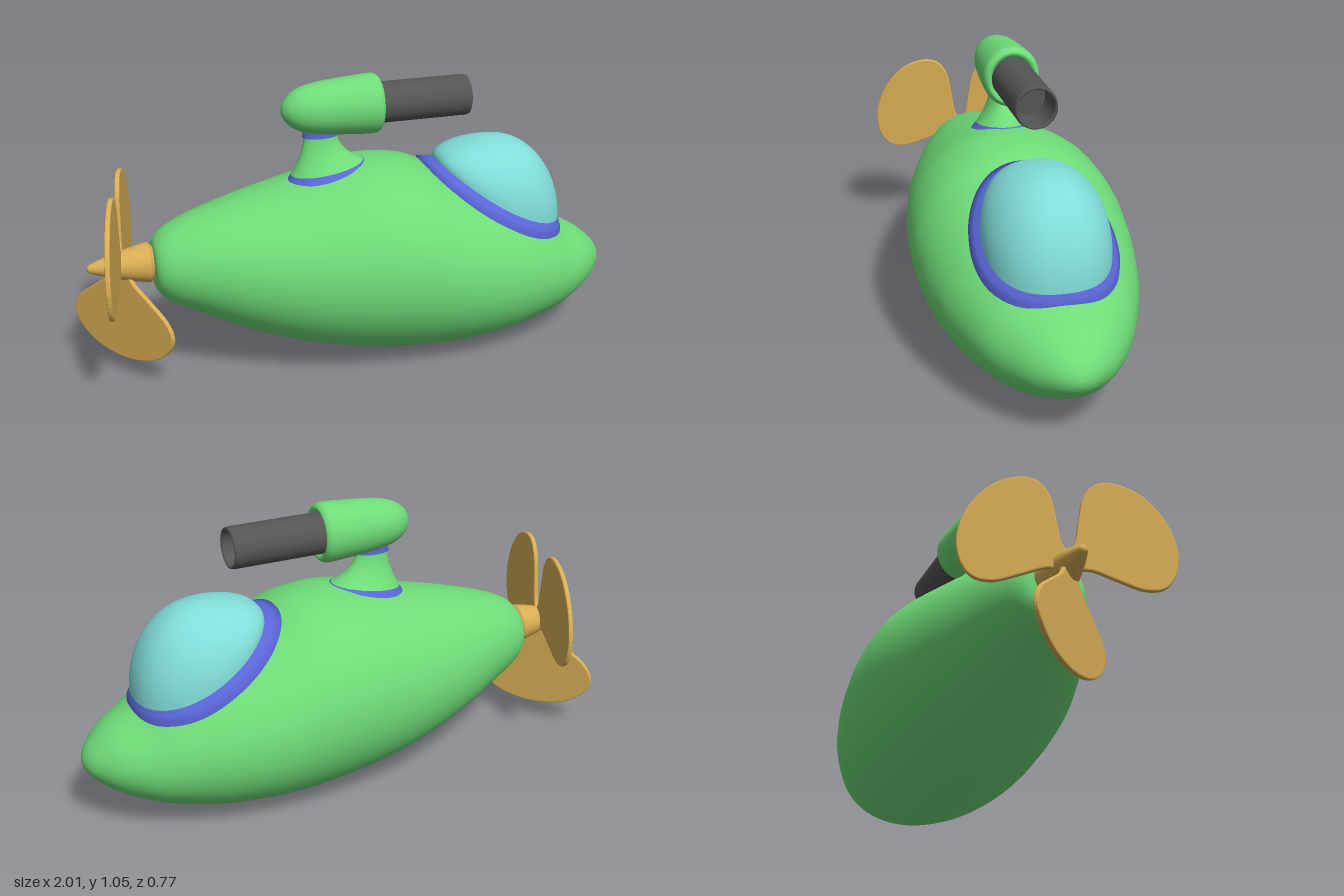
import * as THREE from 'three';

const mat = (color) => new THREE.MeshStandardMaterial({ color });
const GREEN = 0x6fdc78, BLUE = 0x5b66d8, GLASS = 0x80dcd8, GOLD = 0xd9ae55, DARK = 0x555555;
const TAU = Math.PI * 2;

// Smooth skin of closed rings: f(a, v) gives [x, y, z] for angle a and travel v in 0..1
function loft(nu, nv, f) {
  const pos = [], idx = [];
  for (let j = 0; j <= nv; j++)
    for (let i = 0; i < nu; i++) pos.push(...f((i / nu) * TAU, j / nv));
  for (let j = 0; j < nv; j++)
    for (let i = 0; i < nu; i++) {
      const k = (i + 1) % nu;
      const a = j * nu + i, b = j * nu + k, c = b + nu, d = a + nu;
      idx.push(a, b, c, a, c, d);
    }
  const g = new THREE.BufferGeometry();
  g.setAttribute('position', new THREE.Float32BufferAttribute(pos, 3));
  g.setIndex(idx);
  g.computeVertexNormals();
  return g;
}

// Turned part lying along x, from [x, radius] pairs
function turned(pairs, smooth = 0) {
  let pts = pairs.map(([x, r]) => new THREE.Vector2(r, x));
  if (smooth) pts = new THREE.SplineCurve(pts).getPoints(smooth);
  pts.forEach((p) => { p.x = Math.max(p.x, 0); });
  return new THREE.LatheGeometry(pts, 48).rotateZ(-Math.PI / 2);
}

export function createModel() {
  const model = new THREE.Group();
  const add = (name, geometry, color, parent = model) => {
    const m = new THREE.Mesh(geometry, mat(color));
    m.name = name;
    parent.add(m);
    return m;
  };

  // Hull stations: x, top, bottom, half width
  const stations = [
    [-0.74, 0.43, 0.43, 0], [-0.74, 0.49, 0.36, 0.07], [-0.725, 0.525, 0.32, 0.11],
    [-0.68, 0.56, 0.28, 0.145], [-0.58, 0.6, 0.23, 0.195], [-0.4, 0.65, 0.143, 0.27],
    [-0.2, 0.695, 0.073, 0.333], [-0.05, 0.73, 0.038, 0.365], [0.06, 0.745, 0.02, 0.38],
    [0.2, 0.73, 0.005, 0.387], [0.3, 0.69, 0.002, 0.382], [0.4, 0.645, 0.005, 0.37],
    [0.55, 0.58, 0.018, 0.335], [0.7, 0.5, 0.05, 0.277], [0.8, 0.428, 0.085, 0.225],
    [0.9, 0.375, 0.135, 0.155], [0.965, 0.32, 0.187, 0.085], [0.992, 0.281, 0.222, 0.037],
    [1, 0.25, 0.25, 0],
  ];
  const spline = (pick) => new THREE.CatmullRomCurve3(
    stations.map((s) => new THREE.Vector3(...pick(s))), false, 'catmullrom', 0.5);
  const profile = spline(([x, t, b]) => [x, t, b]);
  const beam = spline(([x, , , w]) => [x, w, 0]);
  add('hull', loft(64, 108, (a, v) => {
    const p = profile.getPoint(v), w = Math.max(beam.getPoint(v).y, 0);
    return [p.x, (p.y + p.z) / 2 + Math.cos(a) * (p.y - p.z) / 2, Math.sin(a) * w];
  }), GREEN);

  // Canopy outlines that follow the sloping deck
  const outline = (a, back, front, half, low, rise, power) => {
    const c = Math.cos(a);
    const x = (back + front) / 2 + Math.sin(a) * (front - back) / 2;
    const y = low + rise * Math.pow(Math.max(front - x, 0) / (front - back), power);
    return [x, y, half * Math.sign(c) * Math.pow(Math.abs(c), 0.85)];
  };
  const outer = (a) => outline(a, 0.265, 0.812, 0.248, 0.425, 0.282, 1.7);
  const inner = (a) => outline(a, 0.325, 0.802, 0.215, 0.457, 0.247, 1.6);
  add('canopyFrame', loft(72, 3, (a, v) => {
    const o = outer(a), n = inner(a);
    if (v === 0) return [o[0], o[1] - 0.06, o[2] * 0.98];
    const t = (v * 3 - 1) / 2;
    return o.map((e, i) => e + (n[i] - e) * t);
  }), BLUE);
  add('canopy', loft(72, 24, (a, v) => {
    const p = inner(a), r = Math.cos(v * Math.PI / 2), h = Math.sin(v * Math.PI / 2);
    return [0.55 + (p[0] - 0.55) * r, p[1] + (0.78 - p[1]) * h, p[2] * r];
  }), GLASS);

  // Flared pedestal with a trim ring at its foot and a collar on top
  const pedestal = (from, to) => loft(48, 16, (a, v) => {
    const t = from + (to - from) * v, flare = Math.pow(1 - t, 2.2);
    const dx = Math.sin(a) * (0.06 + 0.085 * flare);
    return [-0.118 + 0.028 * flare + dx, 0.715 + 0.15 * t + 0.17 * dx * (1 - t),
      Math.cos(a) * (0.032 + 0.065 * flare)];
  });
  add('pedestalTrim', pedestal(-0.14, 0.07), BLUE);
  add('pedestal', pedestal(0.07, 0.9), GREEN);
  add('pedestalCollar', pedestal(0.86, 0.999).translate(0.118, 0, 0)
    .scale(1.08, 1, 1.15).translate(-0.118, 0, 0), BLUE);

  // Rounded pod and hollow tube
  const pod = new THREE.Group();
  pod.name = 'deckTube';
  pod.position.y = 0.948;
  model.add(pod);
  add('pod', turned([
    [-0.26, 0], [-0.256, 0.022], [-0.235, 0.052], [-0.195, 0.077], [-0.13, 0.093],
    [-0.04, 0.102], [0.05, 0.108], [0.08, 0.107], [0.095, 0.098], [0.098, 0.088], [0.088, 0.075], [0.07, 0.07],
  ], 66), GREEN, pod).scale.z = 0.93;
  add('tube', turned([
    [0.05, 0.074], [0.422, 0.074], [0.422, 0.074], [0.431, 0.072], [0.433, 0.068],
    [0.43, 0.064], [0.425, 0.063], [0.425, 0.063], [0.3, 0.063], [0.3, 0.063], [0.3, 0],
  ]), DARK, pod);

  // Propeller hub
  const propeller = new THREE.Group();
  propeller.name = 'propeller';
  propeller.position.set(-0.855, 0.435, 0);
  model.add(propeller);
  add('hub', turned([
    [-0.117, 0], [-0.112, 0.012], [-0.09, 0.022], [-0.03, 0.042], [0.03, 0.058],
    [0.085, 0.07], [0.1, 0.072], [0.108, 0.065], [0.108, 0.065], [0.12, 0.055],
  ], 50), GOLD, propeller);

  // Three broad rounded blades: width scale, turn about the hub, yaw of the blade plane
  const half = [[0.035, -0.02], [0.06, -0.06], [0.135, -0.115], [0.205, -0.17],
    [0.232, -0.23], [0.2, -0.29], [0.12, -0.34]];
  const rim = [...half, [0, -0.36], ...half.slice().reverse().map(([x, y]) => [-x, y])];
  const shape = new THREE.Shape(new THREE.SplineCurve(
    rim.map(([x, y]) => new THREE.Vector2(x, y))).getPoints(70));
  const bladeGeometry = new THREE.ExtrudeGeometry(shape, {
    depth: 0.008, bevelEnabled: true, bevelThickness: 0.005, bevelSize: 0.005, bevelSegments: 2,
  }).translate(0, 0, -0.004);
  for (const [name, width, turn, yaw] of [
    ['lowerBlade', 1, 0, -0.89],
    ['upperLeftBlade', 0.88, -TAU / 3, 1.34],
    ['upperRightBlade', 0.88, TAU / 3, 1.34],
  ]) {
    add(name, bladeGeometry.clone().scale(width, 1, 1).rotateZ(turn).rotateY(yaw), GOLD, propeller);
  }

  return model;
}
